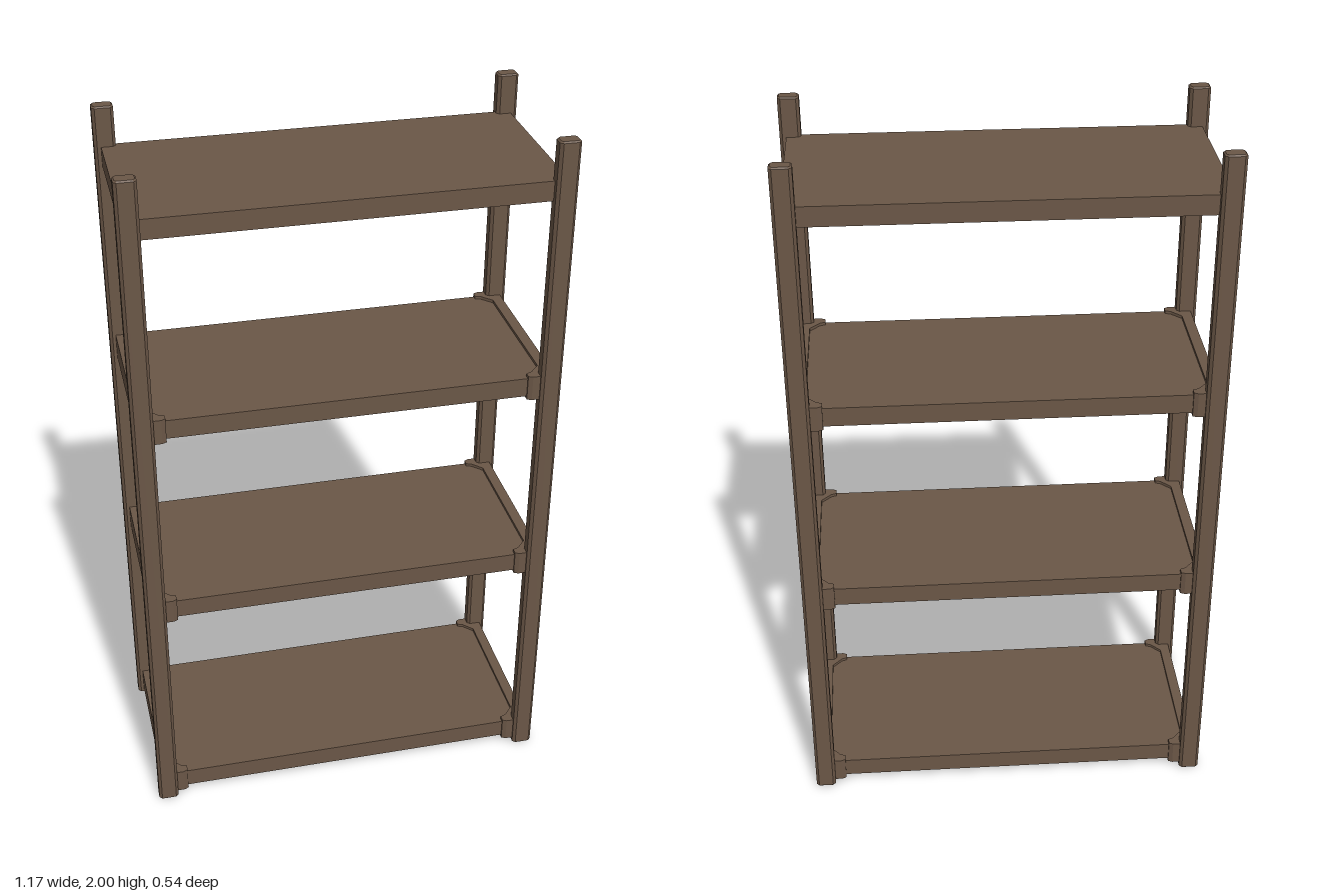
import * as THREE from 'three';

// Extrudes an x/z outline upward from y0 to y1, with an optional small bevel
function prism(points, y0, y1, bevel = 0) {
  const shape = new THREE.Shape(points.map(([x, z]) => new THREE.Vector2(x, -z)));
  const geometry = new THREE.ExtrudeGeometry(shape, {
    depth: y1 - y0 - 2 * bevel,
    bevelEnabled: bevel > 0,
    bevelThickness: bevel,
    bevelSize: bevel,
    bevelOffset: -bevel,
    bevelSegments: 1,
  });
  geometry.rotateX(-Math.PI / 2);
  geometry.translate(0, y0 + bevel, 0);
  return geometry;
}

export function createModel() {
  const model = new THREE.Group();
  model.name = 'shelvingUnit';
  const wood = new THREE.MeshStandardMaterial({ color: 0x6b5747 });
  wood.name = 'darkBrownWood';

  const add = (name, geometry, x = 0, y = 0, z = 0) => {
    const mesh = new THREE.Mesh(geometry, wood);
    mesh.name = name;
    mesh.position.set(x, y, z);
    model.add(mesh);
    return mesh;
  };

  // Four corner posts with chamfered edges
  const w = 0.029, d = 0.021, c = 0.008;
  const postGeometry = prism([
    [w - c, -d], [w, -d + c], [w, d - c], [w - c, d],
    [-w + c, d], [-w, d - c], [-w, -d + c], [-w + c, -d],
  ], 0, 2, 0.004);
  for (const x of [-1, 1]) {
    for (const z of [-1, 1]) {
      const name = (z > 0 ? 'front' : 'back') + (x > 0 ? 'Left' : 'Right') + 'Post';
      add(name, postGeometry, x * 0.558, 0, z * 0.251);
    }
  }

  // Shelf boards, the top one without rails
  const boardGeometry = new THREE.BoxGeometry(1.138, 0.055, 0.5);
  const boardHeights = [0.052, 0.697, 1.288, 1.861];
  boardHeights.forEach((y, i) => add(`shelfBoard${i + 1}`, boardGeometry, 0, y, 0));

  // End rails that hook around the corners of the lower boards
  const railGeometry = prism([
    [0.57, -0.26], [0.57, 0.26], [0.508, 0.26], [0.496, 0.254], [0.496, 0.236],
    [0.512, 0.23], [0.54, 0.2], [0.54, -0.2], [0.512, -0.23], [0.496, -0.236],
    [0.496, -0.254], [0.508, -0.26],
  ], -0.036, 0.036);
  boardHeights.slice(0, 3).forEach((y, i) => {
    add(`leftRail${i + 1}`, railGeometry, 0, y, 0);
    add(`rightRail${i + 1}`, railGeometry, 0, y, 0).rotation.y = Math.PI;
  });

  return model;
}
